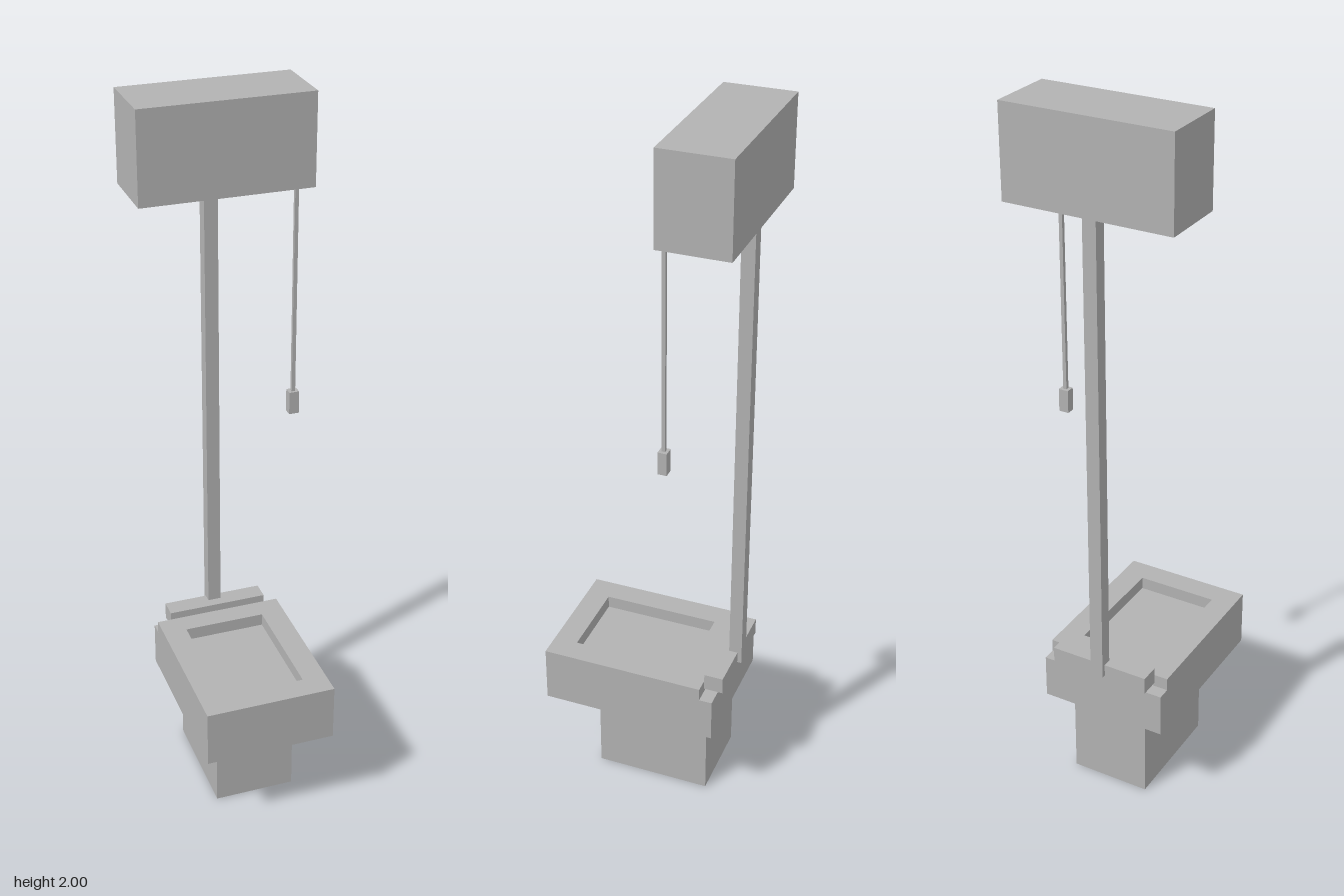
import * as THREE from 'three';

export function createModel() {
  const group = new THREE.Group();
  const grey = new THREE.MeshStandardMaterial({ color: 0xb2b2b2 });
  grey.name = 'plain grey';

  const add = (name, geometry) => {
    const mesh = new THREE.Mesh(geometry, grey);
    mesh.name = name;
    group.add(mesh);
    return mesh;
  };
  // Box given by its extents along each axis
  const box = (name, [x0, x1], [y0, y1], [z0, z1]) =>
    add(name, new THREE.BoxGeometry(x1 - x0, y1 - y0, z1 - z0))
      .position.set((x0 + x1) / 2, (y0 + y1) / 2, (z0 + z1) / 2);
  // Rectangle outline in plan; y of the shape becomes -z
  const rect = (path, w, z0, z1) => path
    .moveTo(-w, -z1).lineTo(w, -z1).lineTo(w, -z0).lineTo(-w, -z0).closePath();

  // Foot and bowl
  box('pedestal', [-0.115, 0.115], [0, 0.257], [-0.192, 0.138]);
  box('bowl', [-0.185, 0.185], [0.257, 0.385], [-0.23, 0.273]);

  // Rim with a rectangular opening, stopping short of the bowl's back edge
  const outline = rect(new THREE.Shape(), 0.185, -0.193, 0.273);
  outline.holes.push(rect(new THREE.Path(), 0.117, -0.13, 0.205));
  const rim = add('rim', new THREE.ExtrudeGeometry(outline, { depth: 0.037, bevelEnabled: false }));
  rim.rotation.x = -Math.PI / 2;
  rim.position.y = 0.385;

  box('seatHinge', [-0.145, 0.145], [0.395, 0.444], [-0.247, -0.193]);

  // Flush pipe and high tank
  box('flushPipe', [-0.019, 0.019], [0.41, 1.75], [-0.259, -0.222]);
  box('tank', [-0.235, 0.235], [1.75, 2], [-0.273, -0.08]);

  // Pull chain
  box('pullChain', [0.18, 0.19], [1.175, 1.75], [-0.092, -0.082]);
  box('pullHandle', [0.171, 0.199], [1.11, 1.175], [-0.1, -0.075]);

  return group;
}
